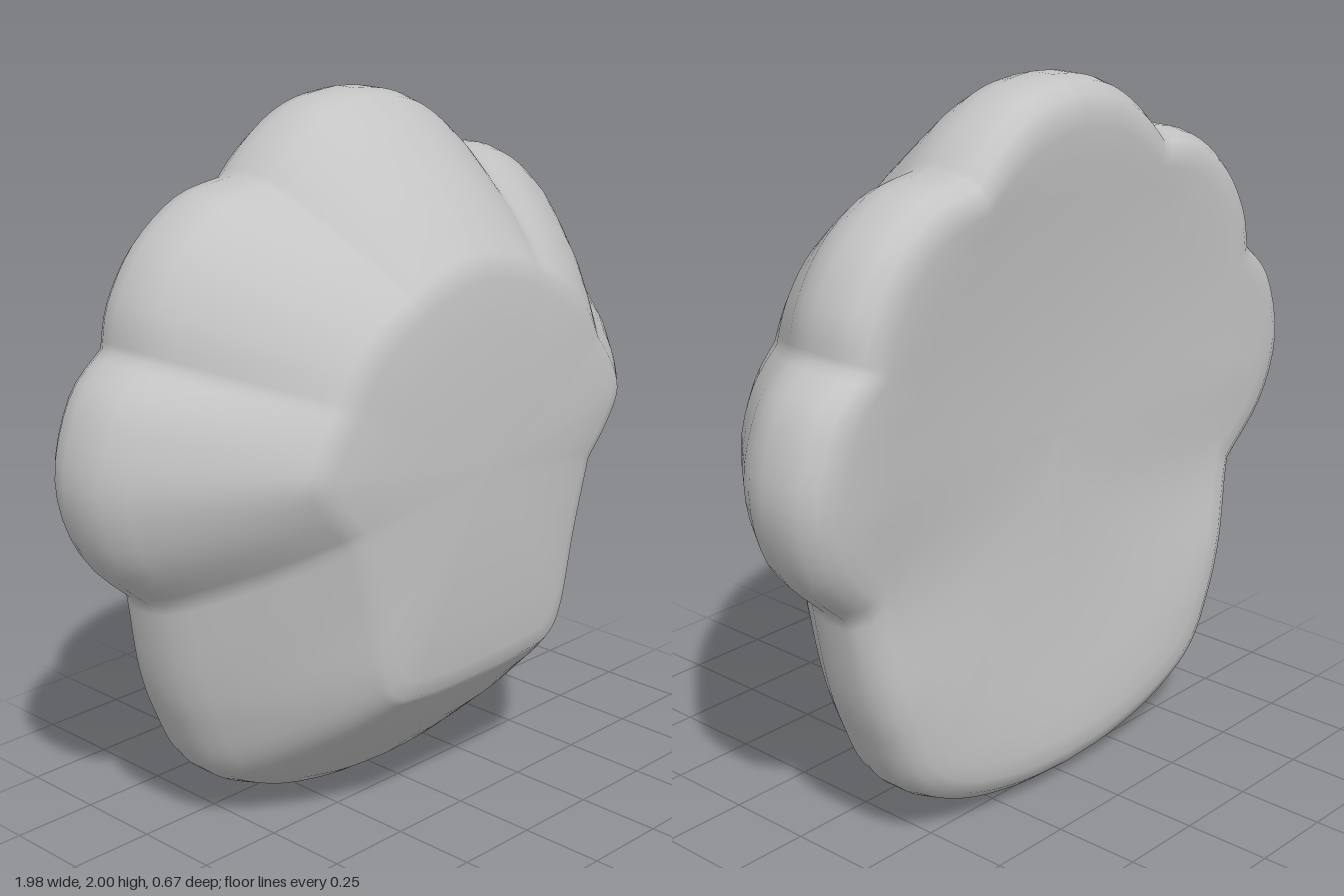
import * as THREE from 'three';

const CENTRE = new THREE.Vector2(0, 1.03);
const STEPS = 16;

// Half outlines from top to bottom, one list per lobe; both use matching knots.
const rimHalf = [
  [[0, 2.0], [0.11, 1.988], [0.21, 1.953], [0.31, 1.885], [0.39, 1.805]],
  [[0.39, 1.805], [0.55, 1.775], [0.7, 1.67], [0.79, 1.53], [0.815, 1.41]],
  [[0.815, 1.41], [0.93, 1.3], [0.99, 1.09], [0.935, 0.88], [0.79, 0.73]],
  [[0.79, 0.73], [0.745, 0.5], [0.69, 0.34], [0.6, 0.175], [0.42, 0.07], [0.2, 0.015], [0, 0]],
];
const plateauHalf = [
  [[0, 1.59], [0.07, 1.583], [0.14, 1.565], [0.2, 1.545], [0.25, 1.52]],
  [[0.25, 1.52], [0.33, 1.48], [0.4, 1.43], [0.455, 1.37], [0.5, 1.29]],
  [[0.5, 1.29], [0.56, 1.21], [0.595, 1.12], [0.55, 1.03], [0.47, 0.94]],
  [[0.47, 0.94], [0.41, 0.73], [0.36, 0.52], [0.3, 0.44], [0.2, 0.425], [0.1, 0.42], [0, 0.42]],
];

// Smooth each lobe separately so the notches stay sharp, then mirror.
function outline(lobes) {
  const half = [];
  lobes.forEach((knots, i) => {
    const curve = new THREE.SplineCurve(knots.map(([x, y]) => new THREE.Vector2(x, y)));
    const n = i === 3 ? STEPS * 2 : STEPS;
    for (let k = i ? 1 : 0; k <= n; k++) half.push(curve.getPoint(k / n));
  });
  const mirrored = half.slice(1, -1).reverse().map((p) => new THREE.Vector2(-p.x, p.y));
  return [...half, ...mirrored];
}

// Rings from front centre over the rim to the back lip:
// [blend from plateau to rim, scale about the centre, z]
const rings = [
  [0, 0, 0.34], [0, 0.35, 0.338], [0, 0.7, 0.33], [0, 0.92, 0.317],
  [0, 1, 0.307], [0.06, 1, 0.288], [0.25, 1, 0.225], [0.5, 1, 0.13],
  [0.72, 1, 0.03], [0.87, 1, -0.042], [0.96, 1, -0.1], [1, 1, -0.16],
  [1, 1, -0.23], [0.97, 1, -0.28], [0.9, 1, -0.315], [0.8, 1, -0.333],
];
// The dished back follows a shallow bowl instead of a fixed depth.
for (const [blend, scale] of [[0.68, 1], [0.5, 1], [0.25, 1], [0, 0.9], [0, 0.6], [0, 0.3], [0, 0]]) {
  rings.push([blend, scale, null]);
}
const bowl = (x, y) => Math.max(-0.333, -0.272 - 0.065 * ((x / 0.8) ** 2 + ((y - 1) / 0.85) ** 2));

function padGeometry() {
  const rim = outline(rimHalf);
  const plateau = outline(plateauHalf);
  const n = rim.length;
  const positions = [];
  const index = [];
  rings.forEach(([blend, scale, depth], r) => {
    for (let j = 0; j < n; j++) {
      const p = plateau[j].clone().lerp(rim[j], blend).sub(CENTRE).multiplyScalar(scale).add(CENTRE);
      let z = depth ?? bowl(p.x, p.y);
      // The back lip is pinched slightly at the waist.
      if (z < -0.27) z += 0.022 * Math.exp(-(((p.y - 0.75) / 0.2) ** 2)) * Math.min(1, Math.abs(p.x) / 0.7);
      positions.push(p.x, p.y, z);
      if (r === rings.length - 1) continue;
      const k = (j + 1) % n;
      const a = r * n + j, b = r * n + k, c = a + n, d = b + n;
      if (scale > 0) index.push(a, b, c);
      if (rings[r + 1][1] > 0) index.push(b, d, c);
    }
  });
  const geometry = new THREE.BufferGeometry();
  geometry.setAttribute('position', new THREE.Float32BufferAttribute(positions, 3));
  geometry.setIndex(index);
  geometry.computeVertexNormals();
  return geometry;
}

export function createModel() {
  const grey = new THREE.MeshStandardMaterial({ color: 0xc4c4c4 });
  grey.name = 'plain grey';
  const group = new THREE.Group();
  group.name = 'lobedPad';
  const body = new THREE.Mesh(padGeometry(), grey);
  body.name = 'padBody';
  group.add(body);
  return group;
}
